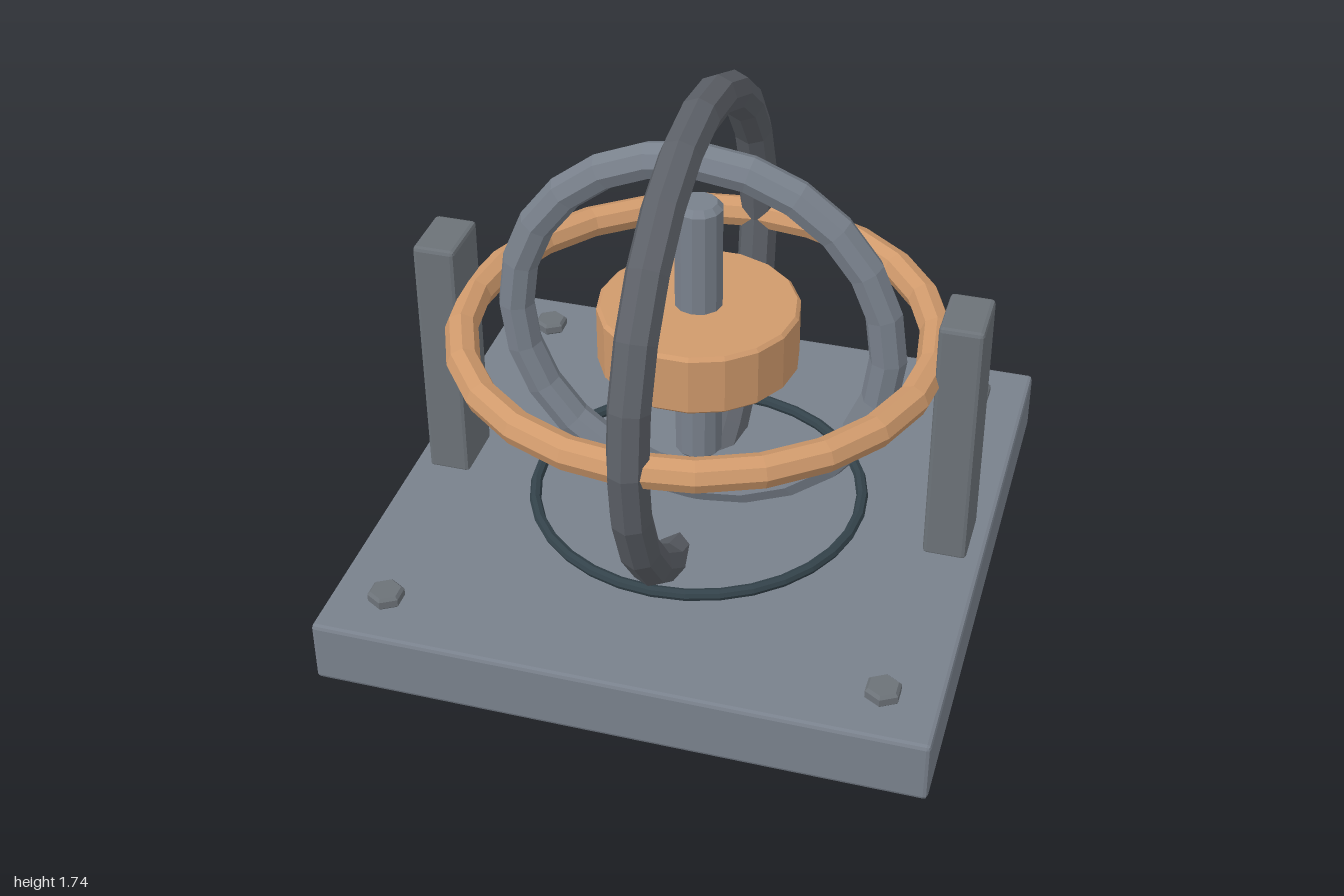
import * as THREE from 'three';
import { RoundedBoxGeometry } from 'three/addons/geometries/RoundedBoxGeometry.js';

const mat = (color) => new THREE.MeshStandardMaterial({ color, flatShading: true });

export function createModel() {
  const model = new THREE.Group();
  model.name = 'gyroscope';
  const steel = mat(0x79818c), darkSteel = mat(0x6c7278), gunmetal = mat(0x5c6067);
  const copper = mat(0xd09a6c), trim = mat(0x33424a);
  const centreY = 0.89, deckY = 0.22;

  function add(name, geometry, material, x = 0, y = 0, z = 0) {
    const mesh = new THREE.Mesh(geometry, material);
    mesh.name = name;
    mesh.position.set(x, y, z);
    model.add(mesh);
    return mesh;
  }

  // Box with chamfered edges
  const chamferBox = (w, h, d, c) => new RoundedBoxGeometry(w, h, d, 1, c);

  // Faceted cylinder with chamfered rims, standing on y = 0
  const chamferCylinder = (r, h, c, sides) => new THREE.LatheGeometry(
    [[0, 0], [r - c, 0], [r, c], [r, h - c], [r - c, h], [0, h]]
      .map(([x, y]) => new THREE.Vector2(x, y)), sides);

  // Base plate and the trim ring on its deck
  add('basePlate', chamferBox(2, deckY, 2, 0.014), steel, 0, deckY / 2, 0);
  add('deckRing', new THREE.TorusGeometry(0.56, 0.02, 8, 32), trim, 0, 0.235, 0)
    .rotation.x = Math.PI / 2;

  // Side posts
  for (const side of [1, -1]) {
    add(side > 0 ? 'leftPost' : 'rightPost', chamferBox(0.145, 0.9, 0.22, 0.014),
      darkSteel, side * 0.872, 0.66, 0);
  }

  // Hex bolts in the corners
  for (const x of [-0.815, 0.815]) {
    for (const z of [-0.815, 0.815]) {
      add('bolt', chamferCylinder(0.06, 0.045, 0.01, 6), darkSteel, x, deckY - 0.003, z);
    }
  }

  // Three nested gimbal rings, one per axis
  add('outerRing', new THREE.TorusGeometry(0.782, 0.068, 8, 24), gunmetal, 0, centreY, 0)
    .rotation.y = Math.PI / 2;
  add('horizontalRing', new THREE.TorusGeometry(0.775, 0.055, 8, 24), copper, 0, centreY, 0)
    .rotation.x = Math.PI / 2;
  add('innerRing', new THREE.TorusGeometry(0.63, 0.062, 8, 24), steel, 0, centreY, 0);

  // Rotor disc on its spindle
  add('rotor', chamferCylinder(0.333, 0.215, 0.012, 18), copper, 0, centreY - 0.107, 0)
    .rotation.y = Math.PI / 2;
  add('spindle', chamferCylinder(0.08, 0.97, 0.02, 12), steel, 0, centreY - 0.485, 0);

  return model;
}
